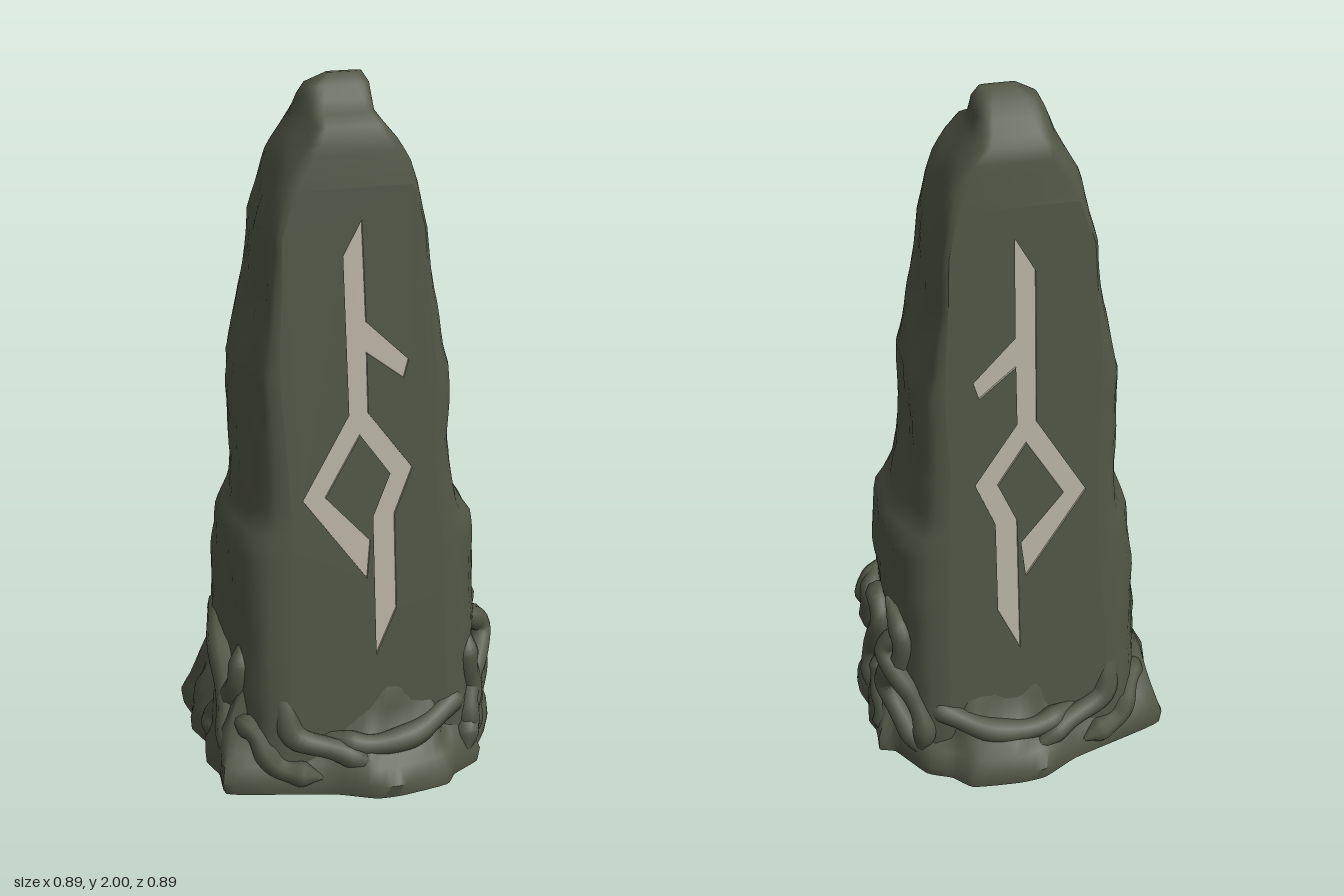
import * as THREE from 'three';
import { toCreasedNormals } from 'three/addons/utils/BufferGeometryUtils.js';

const CARVE = 0.01; // depth of the carved sign
const faceZ = (y) => 0.328 - 0.0947 * y; // sloping plane of the front face

// y, half width at -x, half width at +x, front z, back z, flat share of the width, recess behind the carved panel
const plane = (y, l, r, flat, rec) => [y, l, r, faceZ(y), faceZ(y), flat, rec];
const ROWS = [
  plane(0, 0.38, 0.36, 0.66, 0), plane(0.15, 0.375, 0.36, 0.66, 0),
  plane(0.15, 0.375, 0.36, 0.66, CARVE), plane(0.55, 0.365, 0.37, 0.62, CARVE),
  plane(0.73, 0.355, 0.365, 0.61, CARVE), plane(0.80, 0.315, 0.32, 0.68, CARVE),
  plane(0.98, 0.30, 0.285, 0.73, CARVE), plane(1.2, 0.305, 0.285, 0.76, CARVE),
  plane(1.3, 0.28, 0.255, 0.82, CARVE), plane(1.42, 0.25, 0.225, 0.88, CARVE),
  plane(1.6, 0.235, 0.21, 0.9, CARVE), plane(1.72, 0.2, 0.19, 0.84, CARVE),
  plane(1.72, 0.2, 0.19, 0.84, 0), plane(1.78, 0.18, 0.175, 0.74, 0),
  [1.84, 0.145, 0.14, 0.153, 0.154, 0.66, 0], [1.88, 0.12, 0.105, 0.14, 0.148, 0.66, 0],
  [1.905, 0.112, 0.09, 0.09, 0.125, 0.62, 0], [1.97, 0.097, 0.08, 0.035, 0.06, 0.5, 0],
  [2.0, 0.045, 0.06, 0.008, 0.012, 0.45, 0],
];

const lump = (a, b) => 0.5 * Math.sin(8 * a + 7 * b + 1) + 0.4 * Math.sin(17 * a - 13 * b) + 0.25 * Math.sin(29 * a + 23 * b + 2);

// Skin closed rings, listed bottom to top, with fan caps
function loft(rings, crease) {
  const n = rings[0].length, pos = rings.flat(2), idx = [];
  for (let i = 0; i < rings.length - 1; i++) {
    for (let j = 0; j < n; j++) {
      const a = i * n + j, b = i * n + (j + 1) % n;
      idx.push(a, b, b + n, a, b + n, a + n);
    }
  }
  [0, rings.length - 1].forEach((r) => {
    const c = pos.length / 3;
    const mid = [0, 1, 2].map((k) => rings[r].reduce((s, p) => s + p[k], 0) / n);
    pos.push(...mid);
    for (let j = 0; j < n; j++) {
      const a = r * n + j, b = r * n + (j + 1) % n;
      if (r === 0) idx.push(c, b, a); else idx.push(c, a, b);
    }
  });
  const g = new THREE.BufferGeometry();
  g.setAttribute('position', new THREE.Float32BufferAttribute(pos, 3));
  g.setIndex(idx);
  return toCreasedNormals(g, crease);
}

// Cross-section: flat front and back, lumpy rounded flanks
function stoneRing([y, l, r, zf, zb, f, rec]) {
  const flank = (side, half) => {
    const pts = [];
    for (let k = 0; k <= 12; k++) {
      const a = Math.PI * (0.5 - k / 12), c = Math.max(0, Math.cos(a)), s = Math.sin(a);
      const z = Math.sign(s) * Math.abs(s) ** 0.95 * (s > 0 ? zf : zb);
      const bulge = k % 12 ? 0.014 * c * lump(y, z * 1.5 + side) : 0;
      pts.push([side * (half * f + half * (1 - f) * (k % 12 ? c ** 0.65 : 0) + bulge), y, z]);
    }
    return side > 0 ? pts : pts.reverse();
  };
  return [
    ...flank(1, r), [r * f, y, rec - zb], [-l * f, y, rec - zb],
    ...flank(-1, l), [-l * f, y, zf - rec], [r * f, y, zf - rec],
  ];
}

// Points of the panel edge at one row, matched by the stone around it
const panelEdge = (side) => ([y, l, r, , , f]) => new THREE.Vector2(side > 0 ? r * f : -l * f, y);

function stoneGeometry() {
  const rings = [];
  ROWS.forEach((row, i) => {
    rings.push(stoneRing(row));
    const next = ROWS[i + 1];
    if (!next || next[0] === row[0]) return;
    const steps = Math.max(1, Math.round((next[0] - row[0]) / 0.035));
    for (let k = 1; k < steps; k++) {
      const mix = row.map((v, m) => v + (next[m] - v) * k / steps);
      // keep the panel edge straight between rows
      const edge = (m) => (row[m] * row[5] + (next[m] * next[5] - row[m] * row[5]) * k / steps) / mix[5];
      rings.push(stoneRing([mix[0], edge(1), edge(2), ...mix.slice(3)]));
    }
  });
  return loft(rings, 1.1);
}

// Lean a flat geometry onto the sloping face
function lean(g, offset) {
  const p = g.attributes.position;
  for (let i = 0; i < p.count; i++) p.setZ(i, p.getZ(i) + faceZ(p.getY(i)) + offset);
  g.computeVertexNormals();
  return g;
}

// Outline of the carved sign
const SIGN = [
  [0.01, 1.635], [-0.045, 1.54], [-0.04, 1.1], [-0.18, 0.87], [0, 0.62], [0.012, 0.73], [-0.115, 0.87],
  [-0.01, 1.04], [0.075, 0.92], [0.022, 0.8], [0.022, 0.385], [0.085, 0.52], [0.085, 0.8], [0.14, 0.93],
  [0.015, 1.1], [0.015, 1.27], [0.12, 1.19], [0.135, 1.24], [0.015, 1.355],
].map(([x, y]) => new THREE.Vector2(x, y));

// Ground outline of the root mound (x, z), front to back along +x, then around
const BASE = [
  [-0.02, 0.437], [0.06, 0.443], [0.2, 0.425], [0.24, 0.38], [0.33, 0.33], [0.34, 0.28], [0.41, 0.18], [0.44, 0.1],
  [0.425, 0.02], [0.44, -0.05], [0.425, -0.11], [0.435, -0.19], [0.39, -0.21], [0.32, -0.33], [0.25, -0.37],
  [0.2, -0.425], [0.06, -0.443], [-0.02, -0.437], [-0.13, -0.38], [-0.3, -0.33], [-0.43, -0.285], [-0.425, -0.18],
  [-0.445, -0.1], [-0.42, 0], [-0.445, 0.1], [-0.425, 0.18], [-0.43, 0.285], [-0.3, 0.33], [-0.13, 0.38],
];

function moundGeometry() {
  const n = 116;
  const curve = new THREE.CatmullRomCurve3(BASE.map(([x, z]) => new THREE.Vector3(x, 0, z)), true, 'catmullrom', 0.25);
  const outline = curve.getPoints(n).slice(0, n);
  const levels = [[0, 0.99, 0.99], [0.04, 1, 1], [0.08, 0.98, 0.93], [0.11, 0.96, 0.86], [0.16, 0.93, 0.78],
    [0.22, 0.89, 0.71], [0.27, 0.85, 0.67], [0.34, 0.78, 0.61]];
  return loft(levels.map(([y, sx, sz]) => outline.map((p, j) => {
    const a = j / n * Math.PI * 2;
    const m = 1 + 0.18 * Math.min(y, 0.12) * (Math.sin(9 * a + 20 * y) + 0.8 * Math.sin(16 * a - 32 * y));
    return [p.x * sx * m, y, p.z * sz * m];
  })), 0.9);
}

// Winding root that thins out at both ends
function rootGeometry(points, radius) {
  const curve = new THREE.CatmullRomCurve3(points.map((p) => new THREE.Vector3(...p)));
  const seg = 32, sides = 8;
  const g = new THREE.TubeGeometry(curve, seg, radius, sides, false);
  const p = g.attributes.position, v = new THREE.Vector3();
  for (let i = 0; i <= seg; i++) {
    const c = curve.getPointAt(i / seg);
    const s = Math.min(1, 0.15 + 5 * Math.min(i / seg, 1 - i / seg)) * (1 + 0.1 * Math.sin(i * 0.5));
    for (let j = 0; j <= sides; j++) {
      const k = i * (sides + 1) + j;
      v.fromBufferAttribute(p, k).sub(c).multiplyScalar(s).add(c);
      p.setXYZ(k, v.x, v.y, v.z);
    }
  }
  return toCreasedNormals(g, 1.2);
}

// Roots on the +x flank are given as (z, y) and laid on the surface
const onFlank = ([z, y]) => [0.375 + 0.03 * Math.max(0, 1 - y / 0.4) - 0.6 * Math.max(0, Math.abs(z) - 0.14), y, z];
const FLANK_ROOTS = [
  [[0.18, 0.43], [0.12, 0.36], [0.16, 0.25], [0.22, 0.16], [0.3, 0.03]],
  [[0.07, 0.33], [0.05, 0.41], [-0.02, 0.37], [0.01, 0.28], [0.07, 0.18], [0.03, 0.02]],
  [[-0.1, 0.5], [-0.19, 0.4], [-0.18, 0.31], [-0.13, 0.22], [-0.22, 0.11], [-0.32, 0.03]],
  [[0.24, 0.4], [0.26, 0.3], [0.24, 0.2], [0.3, 0.1], [0.34, 0.03]],
  [[-0.04, 0.26], [-0.06, 0.18], [-0.13, 0.1], [-0.12, 0.02]],
].map((r) => r.map(onFlank));

// Roots on the -x flank
const OTHER_ROOTS = [
  [[-0.29, 0.3, -0.25], [-0.335, 0.39, -0.14], [-0.37, 0.37, 0], [-0.375, 0.25, 0.1], [-0.39, 0.12, 0.18], [-0.4, 0.03, 0.25]],
  [[-0.33, 0.42, 0.14], [-0.355, 0.3, 0.17], [-0.37, 0.2, 0.1], [-0.4, 0.1, 0.03], [-0.4, 0.02, 0.06]],
];

// Roots across the front, repeated on the back
const FACE_ROOTS = [
  [[-0.34, 0.42, 0.15], [-0.29, 0.36, 0.235], [-0.25, 0.25, 0.275], [-0.23, 0.17, 0.3], [-0.1, 0.12, 0.345], [0.02, 0.06, 0.39]],
  [[-0.15, 0.16, 0.3], [-0.02, 0.13, 0.35], [0.12, 0.14, 0.345], [0.22, 0.18, 0.305], [0.33, 0.23, 0.23]],
  [[0.3, 0.44, 0.2], [0.395, 0.35, 0.15], [0.33, 0.23, 0.24], [0.31, 0.14, 0.285], [0.33, 0.04, 0.28]],
  [[-0.38, 0.19, 0.18], [-0.33, 0.17, 0.25], [-0.28, 0.08, 0.305], [-0.16, 0.05, 0.36]],
];

export function createModel() {
  const stone = new THREE.MeshStandardMaterial({ color: 0x505545 });
  stone.name = 'mossy stone';
  const pale = new THREE.MeshStandardMaterial({ color: 0xb8b2a3 });
  pale.name = 'pale carving';
  const model = new THREE.Group();
  model.name = 'standingStone';
  const add = (parent, name, geometry, material) => {
    const mesh = new THREE.Mesh(geometry, material);
    mesh.name = name;
    parent.add(mesh);
  };

  add(model, 'stone', stoneGeometry(), stone);
  add(model, 'rootMound', moundGeometry(), stone);
  [...FLANK_ROOTS, ...OTHER_ROOTS].forEach((r) => add(model, 'sideRoot', rootGeometry(r, 0.038), stone));

  // Carved face panel with the sign cut through, and its pale floor
  const rows = ROWS.filter((r) => r[6] > 0);
  const outline = new THREE.Shape([...rows.map(panelEdge(1)), ...rows.map(panelEdge(-1)).reverse()]);
  outline.holes.push(new THREE.Path(SIGN));
  const panel = lean(new THREE.ExtrudeGeometry(outline, { depth: CARVE, bevelEnabled: false }), -CARVE);
  const floor = lean(new THREE.ShapeGeometry(new THREE.Shape(SIGN)), 0.003 - CARVE);
  const roots = FACE_ROOTS.map((r) => rootGeometry(r, 0.036));
  [1, -1].forEach((side) => {
    const face = new THREE.Group();
    face.name = side > 0 ? 'frontFace' : 'backFace';
    face.scale.z = side;
    add(face, 'carvedPanel', panel, [stone, pale]);
    add(face, 'carvingFloor', floor, pale);
    roots.forEach((g) => add(face, 'faceRoot', g, stone));
    model.add(face);
  });
  return model;
}
